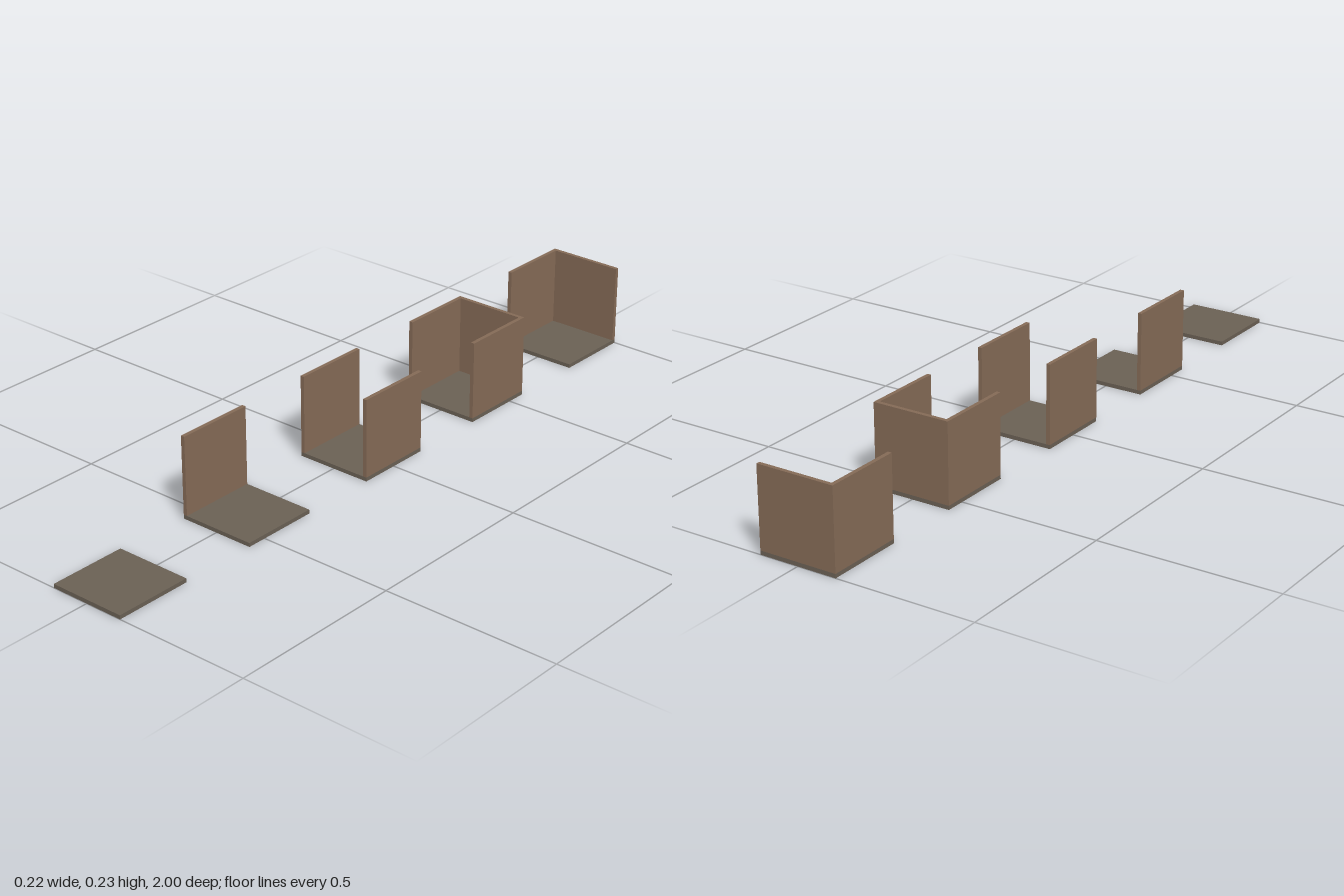
import * as THREE from 'three';

const U = 2 / 9;        // tile size
const T = U * 0.05;     // panel thickness

export function createModel() {
  const model = new THREE.Group();
  model.name = 'roomTiles';

  const floorMat = new THREE.MeshStandardMaterial({ color: 0x6a6054 });
  floorMat.name = 'floor stone';
  const wallMat = new THREE.MeshStandardMaterial({ color: 0x846a56 });
  wallMat.name = 'wall plaster';

  const panel = (parent, name, mat, size, pos) => {
    const mesh = new THREE.Mesh(new THREE.BoxGeometry(...size), mat);
    mesh.name = name;
    mesh.position.set(...pos);
    parent.add(mesh);
  };

  // tiles from front to back, with the walls each one carries
  const tiles = [
    ['floorTile', []],
    ['singleWallTile', ['right']],
    ['corridorTile', ['right', 'left']],
    ['deadEndTile', ['right', 'left', 'back']],
    ['cornerTile', ['right', 'back']],
  ];

  const wallY = T + U / 2;
  const edge = U / 2 - T / 2;
  tiles.forEach(([name, walls], i) => {
    const tile = new THREE.Group();
    tile.name = name;
    tile.position.z = (2 - i) * 2 * U;
    model.add(tile);

    panel(tile, 'floor', floorMat, [U, T, U], [0, T / 2, 0]);
    for (const side of walls) {
      if (side === 'back') panel(tile, 'backWall', wallMat, [U, U, T], [0, wallY, -edge]);
      else panel(tile, side + 'Wall', wallMat, [T, U, U], [side === 'left' ? edge : -edge, wallY, 0]);
    }
  });

  return model;
}
